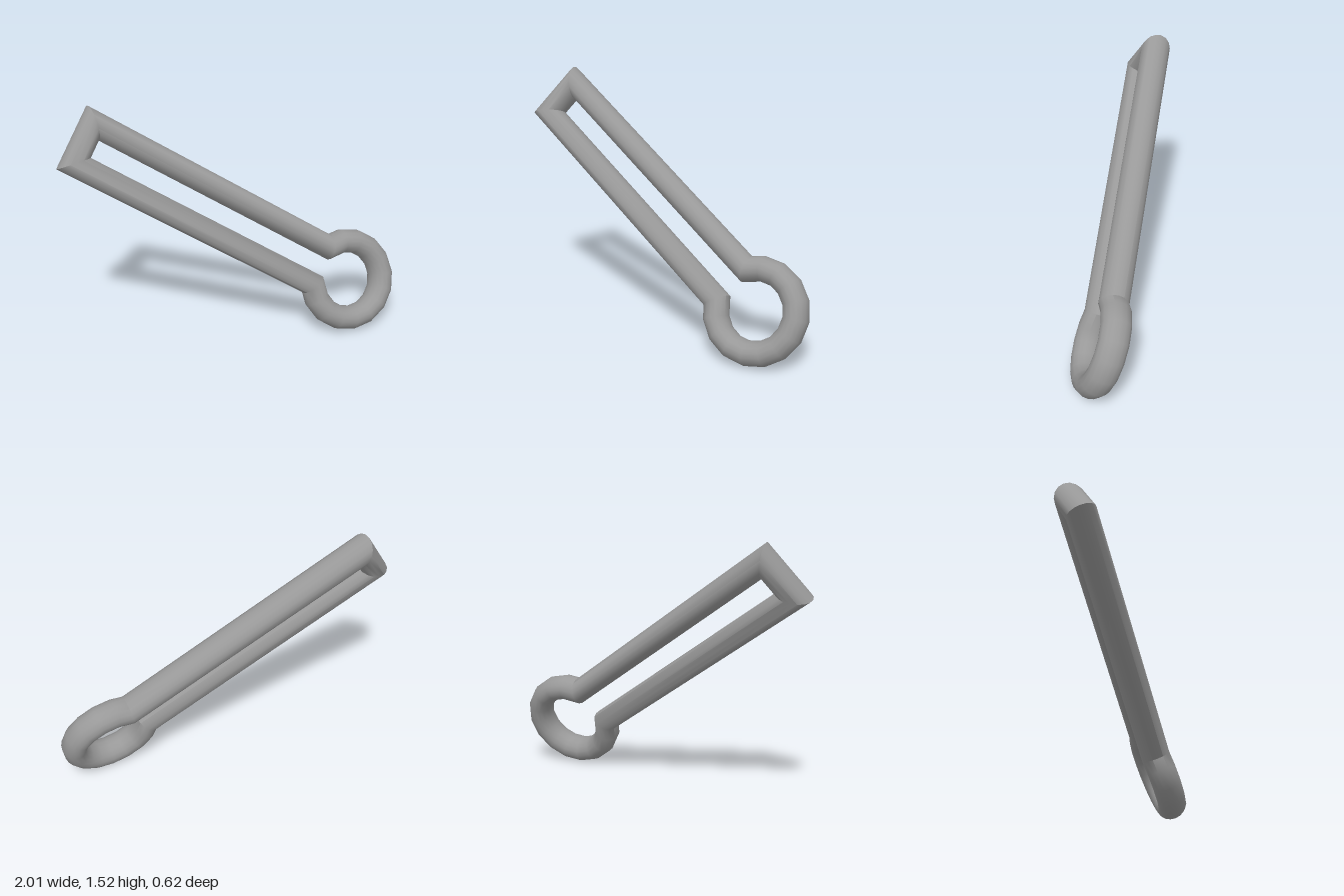
import * as THREE from 'three';
import { toCreasedNormals } from 'three/addons/utils/BufferGeometryUtils.js';

const HALF_GAP = 0.1275;  // half the distance between the two arms
const NECK = -0.207;      // where the arms meet the ring
const TAIL = -1.879;      // closed square end
const RING_STEPS = 13, SIDES = 16;
const IN_PLANE = 0.073, ACROSS = 0.09; // oval wire section

// Centre line of the wire in its own plane, ring centred on the origin
function wirePath() {
  const radius = Math.hypot(NECK, HALF_GAP);
  const start = Math.atan2(HALF_GAP, NECK);
  const pts = [new THREE.Vector2(TAIL, HALF_GAP)];
  for (let i = 0; i <= RING_STEPS; i++) {
    const a = start - (2 * start * i) / RING_STEPS;
    pts.push(new THREE.Vector2(Math.cos(a) * radius, Math.sin(a) * radius));
  }
  pts.push(new THREE.Vector2(TAIL, -HALF_GAP));
  return pts;
}

// Closed sweep of the oval section with mitred corners
function mitredLoop(path) {
  const n = path.length, pos = [], index = [];
  path.forEach((p, i) => {
    const before = p.clone().sub(path[(i + n - 1) % n]).normalize();
    const after = path[(i + 1) % n].clone().sub(p).normalize();
    const t = before.clone().add(after).normalize();
    const reach = IN_PLANE / t.dot(after);
    for (let j = 0; j < SIDES; j++) {
      const a = (j / SIDES) * Math.PI * 2, r = reach * Math.cos(a);
      pos.push(p.x - t.y * r, p.y + t.x * r, ACROSS * Math.sin(a));
      const k = (j + 1) % SIDES, next = ((i + 1) % n) * SIDES, here = i * SIDES;
      index.push(here + j, here + k, next + j, here + k, next + k, next + j);
    }
  });
  const g = new THREE.BufferGeometry();
  g.setAttribute('position', new THREE.Float32BufferAttribute(pos, 3));
  g.setIndex(index);
  return toCreasedNormals(g, THREE.MathUtils.degToRad(42));
}

export function createModel() {
  const group = new THREE.Group();
  group.name = 'wireClip';
  const wire = new THREE.Mesh(
    mitredLoop(wirePath()),
    new THREE.MeshStandardMaterial({ color: 0x999999 })
  );
  wire.name = 'bentWireLoop';

  // Tilt the loop: x runs along the arms, z is across the loop's plane
  const along = new THREE.Vector3(0.83, -0.542, -0.132).normalize();
  const normal = along.clone().cross(new THREE.Vector3(0.43, 0.74, -0.52)).normalize();
  const side = normal.clone().cross(along);
  wire.quaternion.setFromRotationMatrix(new THREE.Matrix4().makeBasis(along, side, normal));
  wire.position.set(0.702, 0.297, -0.094);
  group.add(wire);
  return group;
}
